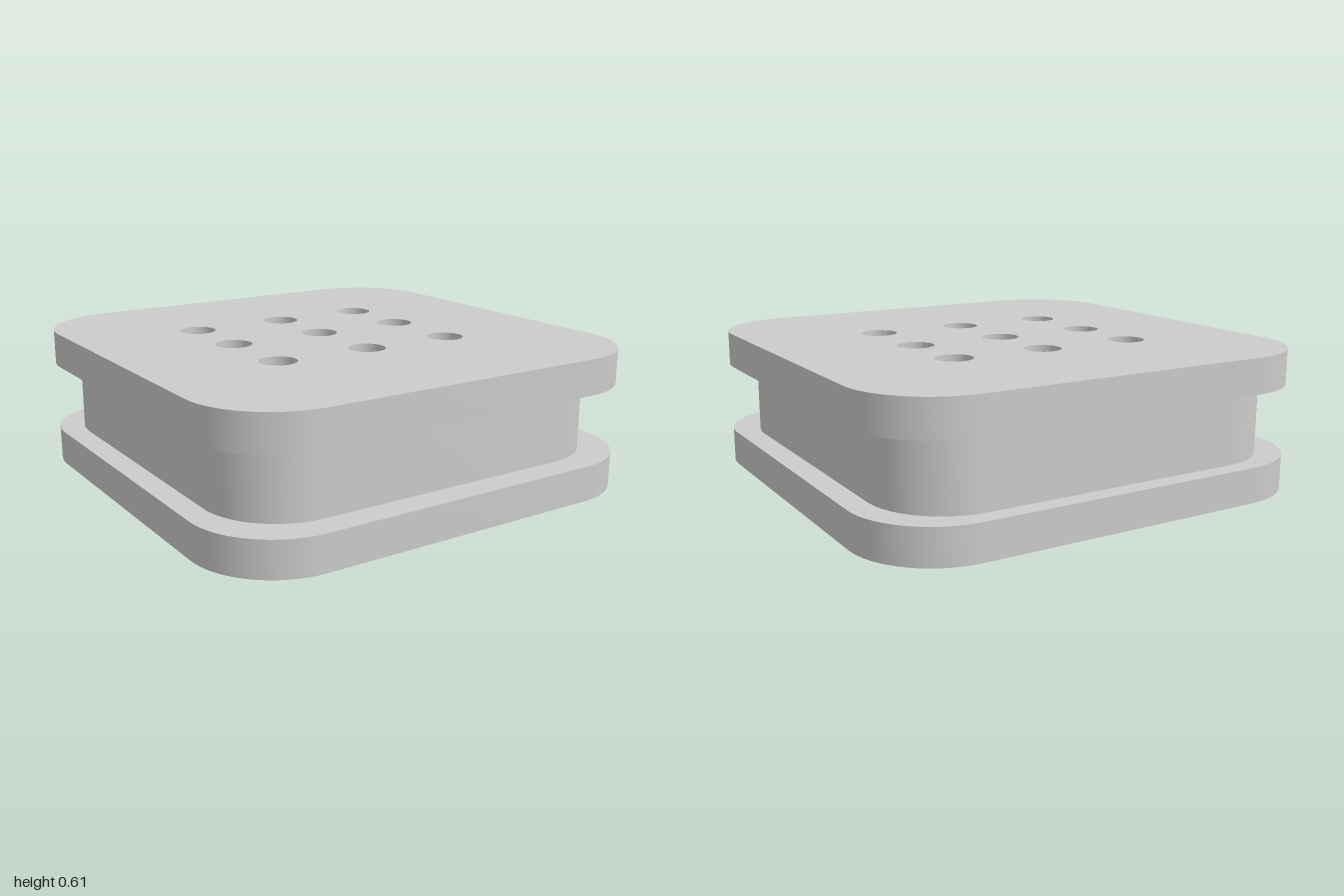
import * as THREE from 'three';
import { toCreasedNormals } from 'three/addons/utils/BufferGeometryUtils.js';

const HOLE_RADIUS = 0.08;

// Square outline with rounded corners
function roundedSquare(half, r) {
  const s = new THREE.Shape();
  const c = half - r;
  s.moveTo(-c, -half);
  s.absarc(c, -c, r, -Math.PI / 2, 0);
  s.absarc(c, c, r, 0, Math.PI / 2);
  s.absarc(-c, c, r, Math.PI / 2, Math.PI);
  s.absarc(-c, -c, r, Math.PI, Math.PI * 1.5);
  s.closePath();
  return s;
}

// Horizontal slab extruded upward from y
function slab(name, shape, y, height, z = 0) {
  let geo = new THREE.ExtrudeGeometry(shape, { depth: height, bevelEnabled: false, curveSegments: 16 });
  geo.rotateX(-Math.PI / 2);
  geo = toCreasedNormals(geo, 0.6);
  const mesh = new THREE.Mesh(geo, new THREE.MeshStandardMaterial({ color: 0xcccccc }));
  mesh.name = name;
  mesh.position.set(0, y, z);
  return mesh;
}

// Plate pierced by a grid of round holes
function plate(name, y, xs, zs) {
  const shape = roundedSquare(1, 0.36);
  for (const x of xs) for (const z of zs) {
    const hole = new THREE.Path();
    hole.absarc(x, -z, HOLE_RADIUS, 0, Math.PI * 2, true);
    shape.holes.push(hole);
  }
  return slab(name, shape, y, 0.152);
}

export function createModel() {
  const model = new THREE.Group();
  model.name = 'perforatedSpool';

  // Two outer plates
  model.add(plate('bottomPlate', 0, [-0.44, -0.025, 0.42], [-0.34, 0.01, 0.37]));
  model.add(plate('topPlate', 0.457, [-0.44, -0.005, 0.415], [-0.38, -0.04, 0.33]));

  // Solid core between them, closing the holes
  model.add(slab('core', roundedSquare(0.9, 0.325), 0.152, 0.305, -0.02));

  return model;
}
